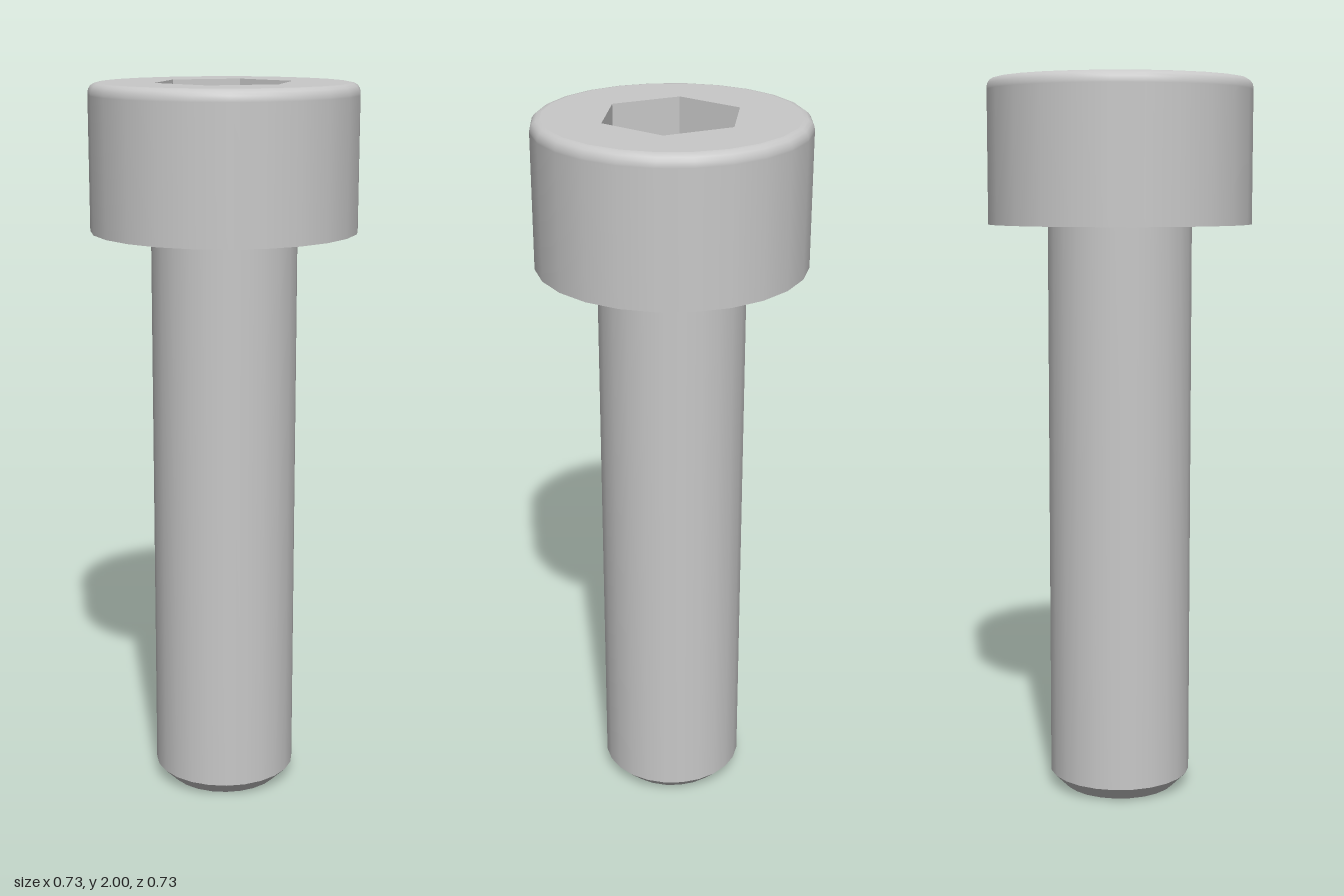
import * as THREE from 'three';
import { mergeVertices } from 'three/addons/utils/BufferGeometryUtils.js';

const SIDES = 24;
const HEAD_R = 0.365, HEAD_Y = 1.605, TOP = 2;
const FILLET = 0.027;
const SHANK_R = 0.2, TIP_R = 0.16, CHAMFER_Y = 0.04;
const HEX_R = 0.193, HEX_DEPTH = 0.2, DRILL_DEPTH = 0.09;

// Revolves a list of [radius, height] points about the y axis
function lathe(points, sides = SIDES) {
  return new THREE.LatheGeometry(points.map(([r, y]) => new THREE.Vector2(r, y)), sides);
}

function polygon(radius, sides, start) {
  return Array.from({ length: sides }, (_, i) => {
    const a = start + (i / sides) * Math.PI * 2;
    return new THREE.Vector2(Math.cos(a) * radius, Math.sin(a) * radius);
  });
}

export function createModel() {
  const steel = new THREE.MeshStandardMaterial({ color: 0xc8c8c8 });
  steel.name = 'steel grey';

  const bolt = new THREE.Group();
  bolt.name = 'socketHeadBolt';
  const add = (name, geometry) => {
    const mesh = new THREE.Mesh(geometry, steel);
    mesh.name = name;
    bolt.add(mesh);
  };

  // Shank with a chamfered tip
  add('tipFace', lathe([[0, 0], [TIP_R, 0]]));
  add('tipChamfer', lathe([[TIP_R, 0], [SHANK_R, CHAMFER_Y]]));
  add('shank', lathe([[SHANK_R, CHAMFER_Y], [SHANK_R, HEAD_Y]]));

  // Head: flat underside, then the wall running into a rounded rim
  add('headUnderside', lathe([[SHANK_R, HEAD_Y], [HEAD_R, HEAD_Y]]));
  const wall = [[HEAD_R, HEAD_Y], [HEAD_R, TOP - FILLET - 0.005]];
  for (let i = 0; i <= 4; i++) {
    const a = (i / 4) * Math.PI / 2;
    wall.push([HEAD_R - FILLET + Math.cos(a) * FILLET, TOP - FILLET + Math.sin(a) * FILLET]);
  }
  add('headWall', lathe(wall));

  // Top face with the hexagonal opening
  const topShape = new THREE.Shape(polygon(HEAD_R - FILLET, SIDES, 0));
  topShape.holes.push(new THREE.Path(polygon(HEX_R, 6, Math.PI / 2)));
  add('headTop', new THREE.ShapeGeometry(topShape).rotateX(-Math.PI / 2).translate(0, TOP, 0));

  // Socket walls: an open hexagonal prism mirrored so its faces look inward
  const walls = new THREE.CylinderGeometry(HEX_R, HEX_R, HEX_DEPTH, 6, 1, true)
    .scale(-1, 1, 1).translate(0, TOP - HEX_DEPTH / 2, 0).toNonIndexed();
  walls.computeVertexNormals();
  add('socketWalls', walls);

  // Socket floor: a shallow smooth hollow left by the drill
  const floorY = TOP - HEX_DEPTH;
  let floor = lathe([[HEX_R, floorY], [0, floorY - DRILL_DEPTH]], 6);
  floor.deleteAttribute('uv');
  floor.deleteAttribute('normal');
  floor = mergeVertices(floor);
  floor.computeVertexNormals();
  add('socketFloor', floor);

  return bolt;
}
